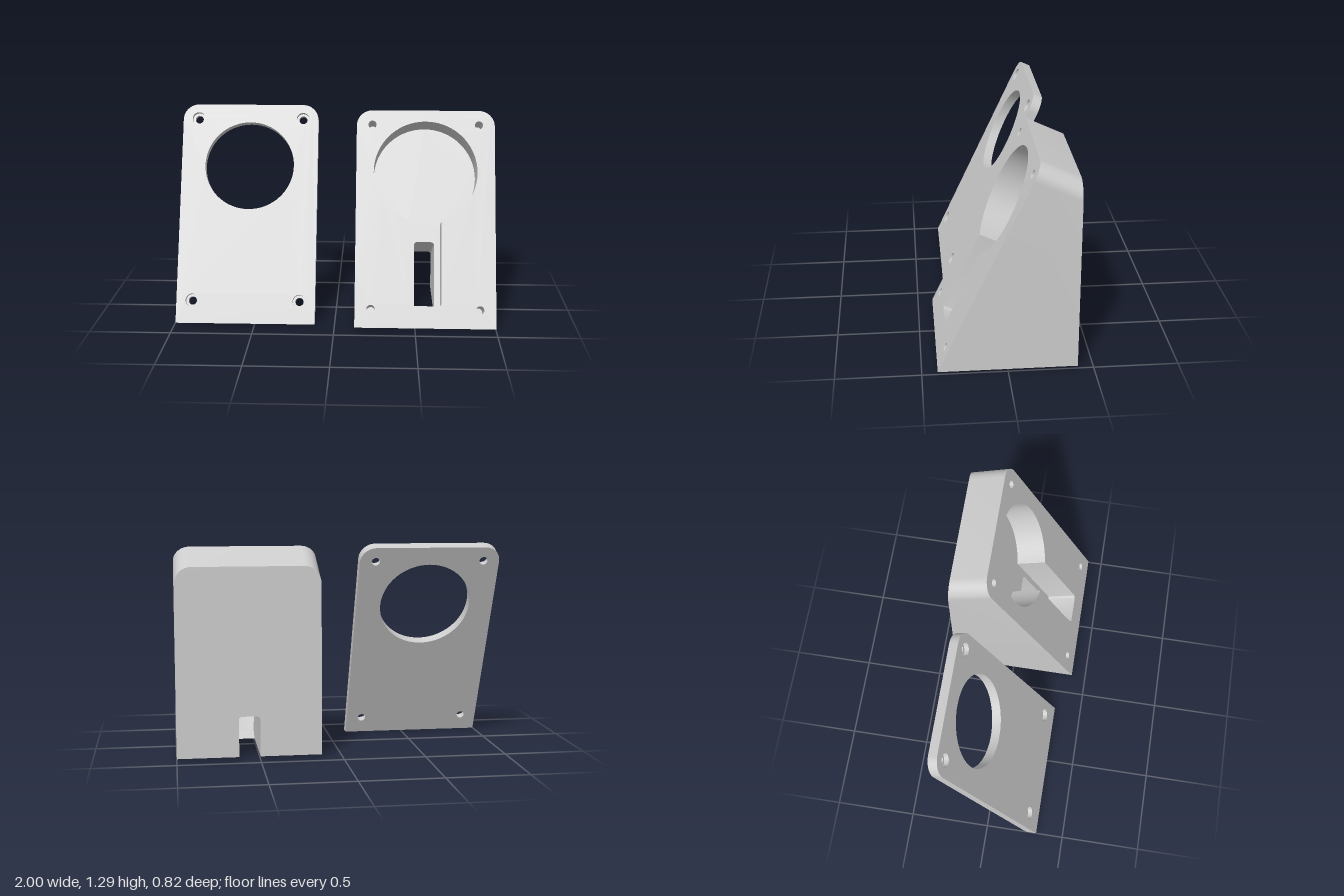
import * as THREE from 'three';
import { toCreasedNormals } from 'three/addons/utils/BufferGeometryUtils.js';

// Both parts lean back by TILT. Outlines are drawn on the leaning front face
// (x across, y up the slope) and swept straight back by a depth.
const TILT = THREE.MathUtils.degToRad(25);
const SIN = Math.sin(TILT), COS = Math.cos(TILT);
const HALF = 0.4375;
const material = new THREE.MeshStandardMaterial({ color: 0xcccccc });

const V = (x, y) => new THREE.Vector2(x, y);
const at = (depth) => (p) => [p.x, p.y, -depth];

function arc(cx, cy, r, a0, a1, n) {
  const pts = [];
  for (let i = 0; i <= n; i++) {
    const a = a0 + ((a1 - a0) * i) / n;
    pts.push(V(cx + r * Math.cos(a), cy + r * Math.sin(a)));
  }
  return pts;
}
const circle = (cx, cy, r, n = 64) => arc(cx, cy, r, 0, Math.PI * 2, n).slice(0, n);

function addMesh(group, name, positions) {
  const geo = new THREE.BufferGeometry();
  geo.setAttribute('position', new THREE.Float32BufferAttribute(positions, 3));
  const mesh = new THREE.Mesh(toCreasedNormals(geo, Math.PI / 6), material);
  mesh.name = name;
  group.add(mesh);
}

// Filled outline, facing forward unless back is set
function addCap(group, name, outline, holes, place, back = false) {
  const pts = [outline, ...holes].flat();
  const out = [];
  for (const [a, b, c] of THREE.ShapeUtils.triangulateShape(outline, holes)) {
    const ccw = THREE.ShapeUtils.area([pts[a], pts[b], pts[c]]) > 0;
    const tri = ccw !== back ? [a, b, c] : [a, c, b];
    for (const i of tri) out.push(...place(pts[i]));
  }
  addMesh(group, name, out);
}

// Band joining a counter-clockwise outline at two depths
function addWall(group, name, outline, front, rear, inward = false) {
  const out = [];
  outline.forEach((p, i) => {
    const q = outline[(i + 1) % outline.length];
    const [a, b, c, d] = [front(p), front(q), rear(p), rear(q)];
    const tris = inward ? [a, b, c, b, d, c] : [a, c, b, b, c, d];
    for (const v of tris) out.push(...v);
  });
  addMesh(group, name, out);
}

// Rounded top of a panel, from right to left
const roundedTop = (top, r) => [
  ...arc(HALF - r, top - r, r, 0, Math.PI / 2, 12),
  ...arc(-HALF + r, top - r, r, Math.PI / 2, Math.PI, 12),
];

function screwCentres(low, high) {
  return [V(-0.338, low), V(0.338, low), V(-0.338, high), V(0.338, high)];
}

function buildStand() {
  const g = new THREE.Group();
  g.name = 'stand';
  const DEPTH = 0.815, FLOOR = 0.2;
  const k = DEPTH * SIN; // slope height of the rear bottom edge
  // Sweep ends on the level base or on the upright back
  const exit = (p) => [p.x, p.y, -Math.min((p.y * COS) / SIN, (DEPTH - p.y * SIN) / COS)];

  // Outer outline
  const upper = [V(HALF, k), ...roundedTop(1.385, 0.1), V(-HALF, k)];
  const outer = [V(-HALF, 0), V(HALF, 0), ...upper];

  // Round pocket joined to a cable channel
  const cy = 0.986, R = 0.327, w = 0.101, low = 0.138, cr = 0.02;
  const join = -Math.acos(w / R);
  const pocket = [
    ...arc(w - cr, low + cr, cr, -Math.PI / 2, 0, 6),
    ...arc(0, cy, R, join, Math.PI - join, 64),
    ...arc(-w + cr, low + cr, cr, Math.PI, Math.PI * 1.5, 6),
  ];

  // Cable slot leaving through the base and back
  const h = 0.064, high = 0.568;
  const slotUpper = [
    V(h, k),
    ...arc(h - cr, high - cr, cr, 0, Math.PI / 2, 6),
    ...arc(-h + cr, high - cr, cr, Math.PI / 2, Math.PI, 6),
    V(-h, k),
  ];
  const slot = [V(h, low), ...slotUpper, V(-h, low)];

  const screws = screwCentres(0.116, 1.291).map((c) => circle(c.x, c.y, 0.026, 24));

  addCap(g, 'frontFace', outer, [pocket, ...screws], at(0));
  addWall(g, 'outerSides', outer, at(0), exit);
  addCap(g, 'base', [V(-HALF, 0), V(HALF, 0), V(HALF, k), V(h, k), V(h, low),
    V(-h, low), V(-h, k), V(-HALF, k)], [], exit, true);
  addCap(g, 'back', [...upper, ...[...slotUpper].reverse()], [], exit, true);
  addWall(g, 'pocketWall', pocket, at(0), at(FLOOR), true);
  addCap(g, 'pocketFloor', [...pocket, ...[...slot].reverse()], [], at(FLOOR));
  addWall(g, 'cableSlot', slot, at(FLOOR), exit, true);
  for (const s of screws) {
    addWall(g, 'screwHole', s, at(0), at(0.15), true);
    addCap(g, 'screwHoleEnd', s, [], at(0.15));
  }
  g.rotation.x = -TILT;
  g.position.set(0.5625, 0.015, 0.408);
  return g;
}

function buildCover() {
  const g = new THREE.Group();
  g.name = 'coverPlate';
  const T = 0.06, BORE = 0.03;
  const outer = [V(-HALF, 0), V(HALF, 0), ...roundedTop(1.418, 0.1)];
  // Bottom edge is cut level with the ground
  const rear = (p) => [p.x, Math.max(p.y, (T * SIN) / COS), -T];

  const window_ = circle(0, 1.015, 0.285);
  const centres = screwCentres(0.144, 1.324);
  const bores = centres.map((c) => circle(c.x, c.y, 0.041, 32));
  const holes = centres.map((c) => circle(c.x, c.y, 0.026, 32));

  addCap(g, 'frontFace', outer, [window_, ...bores], at(0));
  addCap(g, 'backFace', outer, [window_, ...holes], rear, true);
  addWall(g, 'outerEdge', outer, at(0), rear);
  addWall(g, 'roundOpening', window_, at(0), at(T), true);
  // Counterbored screw holes
  bores.forEach((bore, i) => {
    addWall(g, 'counterbore', bore, at(0), at(BORE), true);
    addCap(g, 'counterboreSeat', bore, [holes[i]], at(BORE));
    addWall(g, 'screwHole', holes[i], at(BORE), at(T), true);
  });
  g.rotation.x = -TILT;
  g.position.set(-0.5625, 0, 0.326);
  return g;
}

export function createModel() {
  const model = new THREE.Group();
  model.name = 'standAndCover';
  model.add(buildStand(), buildCover());
  return model;
}
